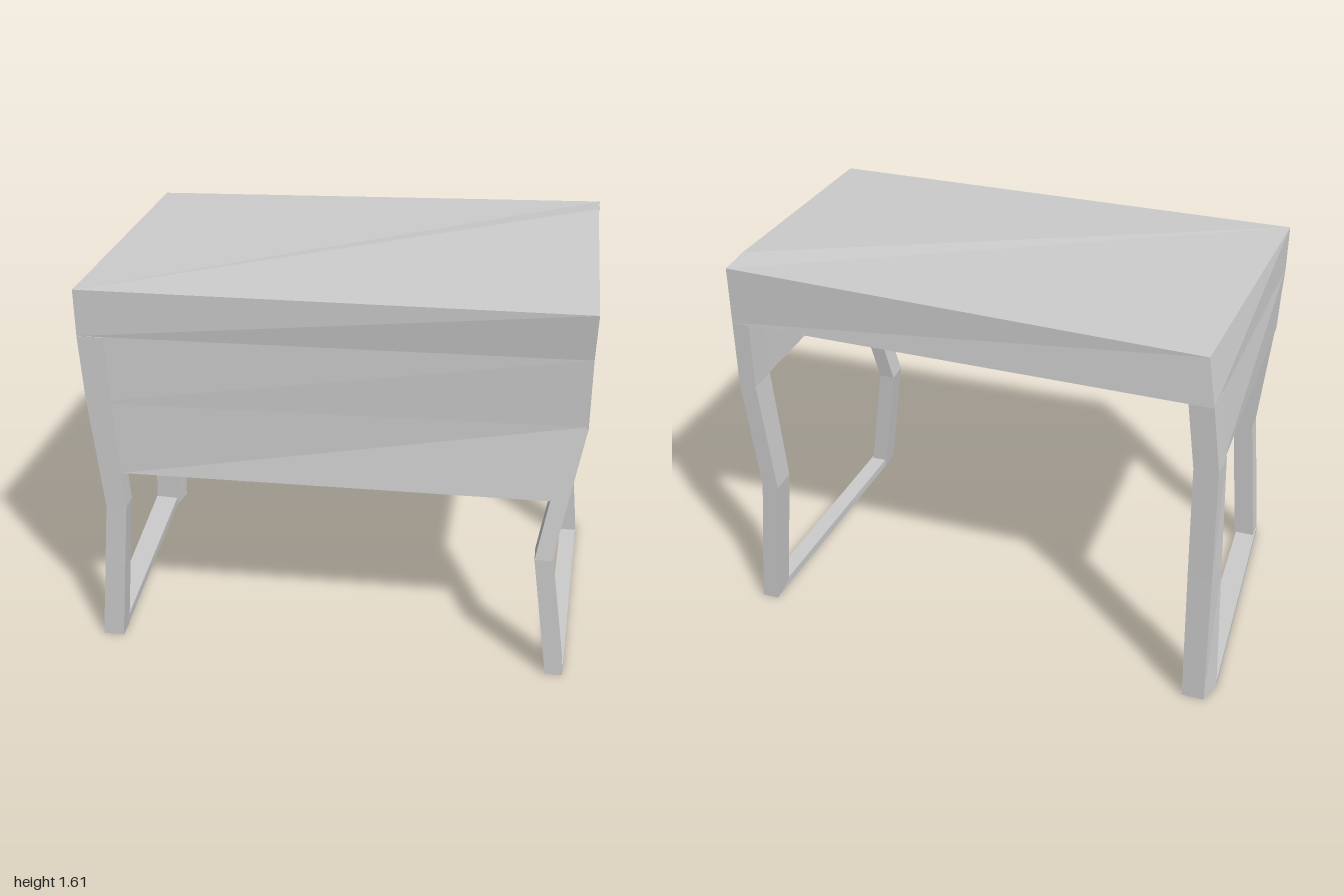
import * as THREE from 'three';

const material = new THREE.MeshStandardMaterial({ color: 0xcccccc, flatShading: true });

// Solid skinned over rings stacked upward; ring order: front -x, front +x, back +x, back -x
function loft(name, rings) {
  const pos = [];
  const tri = (a, b, c) => pos.push(...a, ...b, ...c);
  const n = rings[0].length;
  for (let i = 0; i < rings.length - 1; i++) {
    for (let k = 0; k < n; k++) {
      const j = (k + 1) % n;
      const a = rings[i][k], b = rings[i][j], c = rings[i + 1][j], d = rings[i + 1][k];
      tri(a, b, c);
      tri(a, c, d);
    }
  }
  const bottom = rings[0], top = rings[rings.length - 1];
  for (let k = 1; k < n - 1; k++) {
    tri(bottom[0], bottom[k + 1], bottom[k]);
    tri(top[0], top[k], top[k + 1]);
  }
  const geometry = new THREE.BufferGeometry();
  geometry.setAttribute('position', new THREE.Float32BufferAttribute(pos, 3));
  geometry.computeVertexNormals();
  const mesh = new THREE.Mesh(geometry, material);
  mesh.name = name;
  return mesh;
}

// Level ring from [x, z] corners
const ring = (y, ...corners) => corners.map(([x, z]) => [x, y, z]);
// Level rectangle
const rect = (y, x0, x1, zFront, zBack) =>
  ring(y, [x0, zFront], [x1, zFront], [x1, zBack], [x0, zBack]);

export function createModel() {
  const desk = new THREE.Group();
  desk.name = 'desk';

  // Thick, slightly skewed desk top
  desk.add(loft('deskTop', [
    ring(1.36, [-0.945, 0.575], [0.99, 0.5], [0.99, -0.46], [0.99, -0.585], [-0.915, -0.57]),
    [[-0.945, 1.55, 0.578], [0.995, 1.55, 0.528], [0.985, 1.605, -0.46], [0.99, 1.595, -0.585], [-0.88, 1.55, -0.548]],
  ]));

  // Front panel, twisted back towards +x
  const t = 0.035;
  desk.add(loft('frontPanel', [
    [0.775, -0.815, 0.572, 0.865, 0.537],
    [1.08, -0.925, 0.575, 0.985, 0.49],
    [1.36, -0.945, 0.575, 0.99, 0.5],
  ].map(([y, xl, zl, xr, zr]) => ring(y, [xl, zl], [xr, zr], [xr, zr - t], [xl, zl - t]))));

  // Side panels under the top
  desk.add(loft('leftSidePanel', [
    rect(1.083, 0.92, 0.985, 0.485, -0.56),
    rect(1.36, 0.925, 0.99, 0.495, -0.56),
  ]));
  desk.add(loft('rightSidePanel', [
    ring(1.09, [-0.935, 0.56], [-0.87, 0.56], [-0.885, -0.52], [-0.95, -0.52]),
    ring(1.36, [-0.945, 0.56], [-0.88, 0.56], [-0.85, -0.54], [-0.915, -0.54]),
  ]));

  // Bent legs: rows of y, x range, front and back z
  const legs = {
    frontLeftLeg: [
      [0, 0.895, 0.965, 0.585, 0.495], [0.53, 0.823, 0.89, 0.575, 0.485],
      [1.07, 0.92, 0.99, 0.49, 0.41], [1.36, 0.92, 0.99, 0.5, 0.42],
    ],
    backLeftLeg: [
      [0, 0.93, 1, -0.48, -0.585], [0.6, 0.87, 0.94, -0.48, -0.585],
      [1.08, 0.92, 0.99, -0.465, -0.585], [1.36, 0.92, 0.99, -0.46, -0.585],
    ],
    frontRightLeg: [
      [0, -0.94, -0.855, 0.583, 0.5], [0.62, -0.885, -0.803, 0.575, 0.495],
      [1.09, -0.93, -0.835, 0.576, 0.495], [1.36, -0.945, -0.845, 0.576, 0.495],
    ],
  };
  for (const [name, rows] of Object.entries(legs)) {
    desk.add(loft(name, rows.map((r) => rect(...r))));
  }
  // This leg is turned a little and leans outwards
  desk.add(loft('backRightLeg', [
    ring(0, [-1, -0.49], [-0.9, -0.485], [-0.88, -0.585], [-0.97, -0.585]),
    ring(0.6, [-0.975, -0.48], [-0.88, -0.475], [-0.865, -0.575], [-0.96, -0.575]),
    ring(1.09, [-0.955, -0.465], [-0.865, -0.46], [-0.855, -0.57], [-0.95, -0.57]),
    ring(1.36, [-0.92, -0.45], [-0.83, -0.45], [-0.82, -0.57], [-0.915, -0.57]),
  ]));

  // Flat floor bars joining the legs
  const bars = {
    leftFloorBar: [[0.895, 0.56], [0.965, 0.56], [1, -0.56], [0.93, -0.56]],
    rightFloorBar: [[-0.94, 0.56], [-0.855, 0.56], [-0.9, -0.49], [-1, -0.49]],
  };
  for (const [name, corners] of Object.entries(bars)) {
    desk.add(loft(name, [ring(0, ...corners), ring(0.035, ...corners)]));
  }
  return desk;
}
